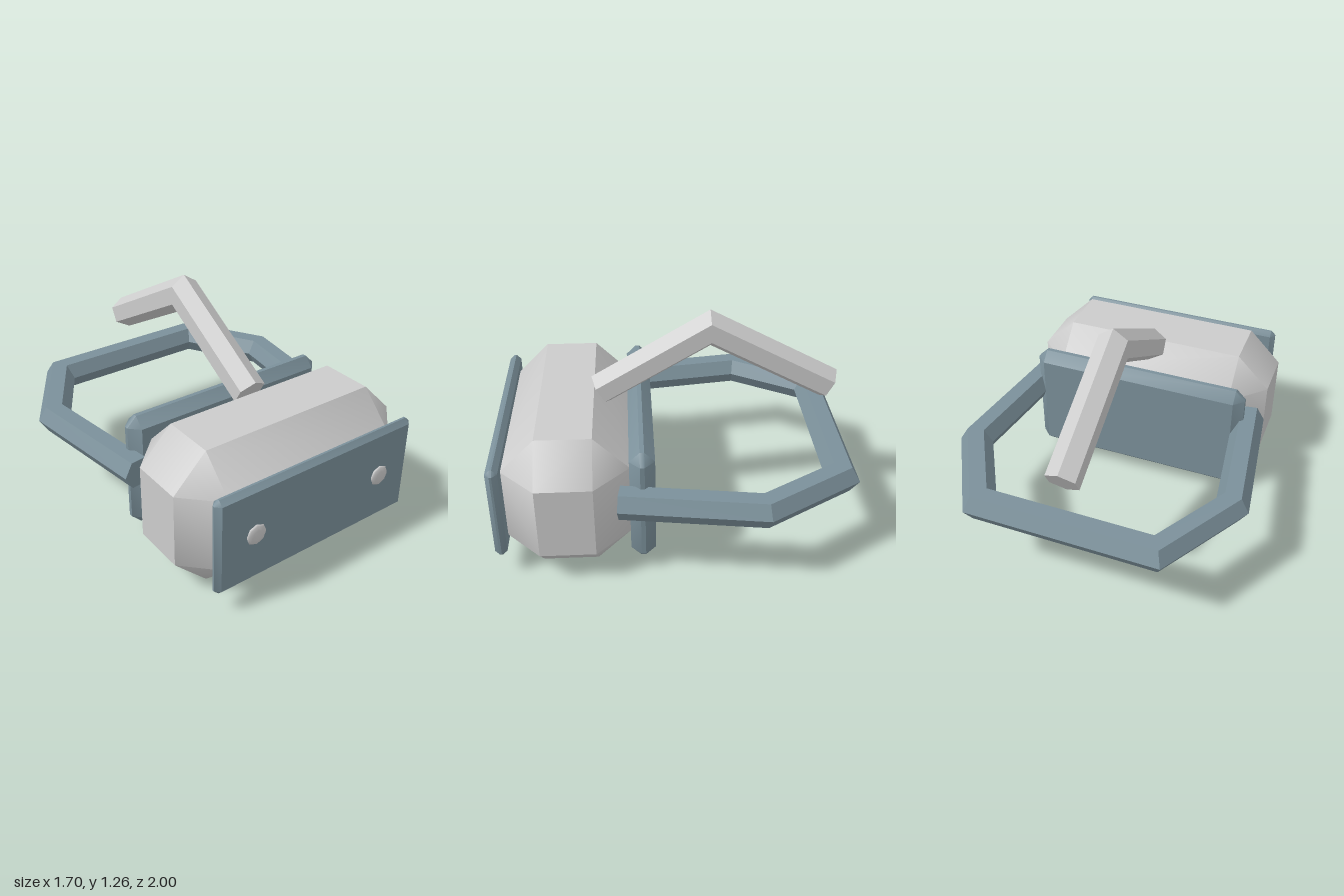
import * as THREE from 'three';
import { toCreasedNormals } from 'three/addons/utils/BufferGeometryUtils.js';
import { ConvexGeometry } from 'three/addons/geometries/ConvexGeometry.js';

const V = (x, y, z) => new THREE.Vector3(x, y, z);

// Box with straight chamfers; chamfers shade smoothly into the corner facets.
function chamferBox(w, h, d, r) {
  const half = [w / 2, h / 2, d / 2];
  const pts = [];
  for (const sx of [-1, 1]) for (const sy of [-1, 1]) for (const sz of [-1, 1]) {
    const s = [sx, sy, sz];
    for (let axis = 0; axis < 3; axis++) {
      pts.push(V(...half.map((v, i) => s[i] * (i === axis ? v : v - r))));
    }
  }
  return toCreasedNormals(new ConvexGeometry(pts), 0.7);
}

// Hexagonal bar swept along a planar path with mitred bends and closed ends.
function hexBar(path, planeNormal, r) {
  const n = path.length, pos = [], idx = [];
  path.forEach((p, i) => {
    const before = p.clone().sub(path[Math.max(i - 1, 0)]).normalize();
    const after = path[Math.min(i + 1, n - 1)].clone().sub(p).normalize();
    const t = before.clone().add(after).normalize();
    const stretch = 1 / t.dot(i > 0 ? before : after);
    const side = planeNormal.clone().cross(t);
    for (let k = 0; k < 6; k++) {
      const a = k * Math.PI / 3;
      const v = p.clone().addScaledVector(side, Math.cos(a) * r * stretch)
        .addScaledVector(planeNormal, Math.sin(a) * r);
      pos.push(v.x, v.y, v.z);
    }
  });
  for (let i = 0; i < n - 1; i++) for (let k = 0; k < 6; k++) {
    const a = i * 6 + k, b = i * 6 + (k + 1) % 6;
    idx.push(a, b, b + 6, a, b + 6, a + 6);
  }
  const e = (n - 1) * 6;
  for (let k = 1; k < 5; k++) idx.push(0, k + 1, k, e, e + k, e + k + 1);
  const indexed = new THREE.BufferGeometry();
  indexed.setAttribute('position', new THREE.Float32BufferAttribute(pos, 3));
  indexed.setIndex(idx);
  const geo = indexed.toNonIndexed();
  geo.computeVertexNormals();
  return geo;
}

export function createModel() {
  const group = new THREE.Group();
  const grey = new THREE.MeshStandardMaterial({ color: 0xcccccc });
  const greyFlat = new THREE.MeshStandardMaterial({ color: 0xcccccc, flatShading: true });
  const blue = new THREE.MeshStandardMaterial({ color: 0x7b909a });
  const blueFlat = new THREE.MeshStandardMaterial({ color: 0x7b909a, flatShading: true });

  const add = (name, geo, mat, x = 0, y = 0, z = 0) => {
    const mesh = new THREE.Mesh(geo, mat);
    mesh.name = name;
    mesh.position.set(x, y, z);
    group.add(mesh);
    return mesh;
  };

  // Main housing, front cover and face cushion
  add('body', chamferBox(1.44, 0.8, 0.68, 0.19), grey, 0, 0.4, 0.57);
  add('frontPlate', chamferBox(1.288, 0.565, 0.066, 0.027), blue, 0, 0.402, 0.938);
  add('faceCushion', chamferBox(1.288, 0.685, 0.136, 0.056), blue, 0, 0.402, 0.167);

  // Flattened round lenses on the front cover
  const lensGeo = new THREE.SphereGeometry(0.06, 8, 6);
  lensGeo.rotateX(Math.PI / 2);
  lensGeo.scale(1, 1, 0.25);
  for (const s of [-1, 1]) {
    add(s > 0 ? 'leftLens' : 'rightLens', lensGeo, grey, s * 0.417, 0.415, 0.98);
  }

  // Strap around the back of the head
  const halfStrap = [[0.65, 0.29], [0.755, -0.466], [0.49, -0.915]];
  const strapPath = [
    ...halfStrap.map(([x, z]) => V(x, 0.477, z)),
    ...halfStrap.map(([x, z]) => V(-x, 0.477, z)).reverse(),
  ];
  add('headStrap', hexBar(strapPath, V(0, 1, 0), 0.0895), blueFlat);

  // Strap over the top of the head
  const topPath = [V(0, 0.785, 0.385), V(0, 1.153, -0.23), V(0, 0.787, -0.913)];
  add('topStrap', hexBar(topPath, V(1, 0, 0), 0.094), greyFlat);

  return group;
}
